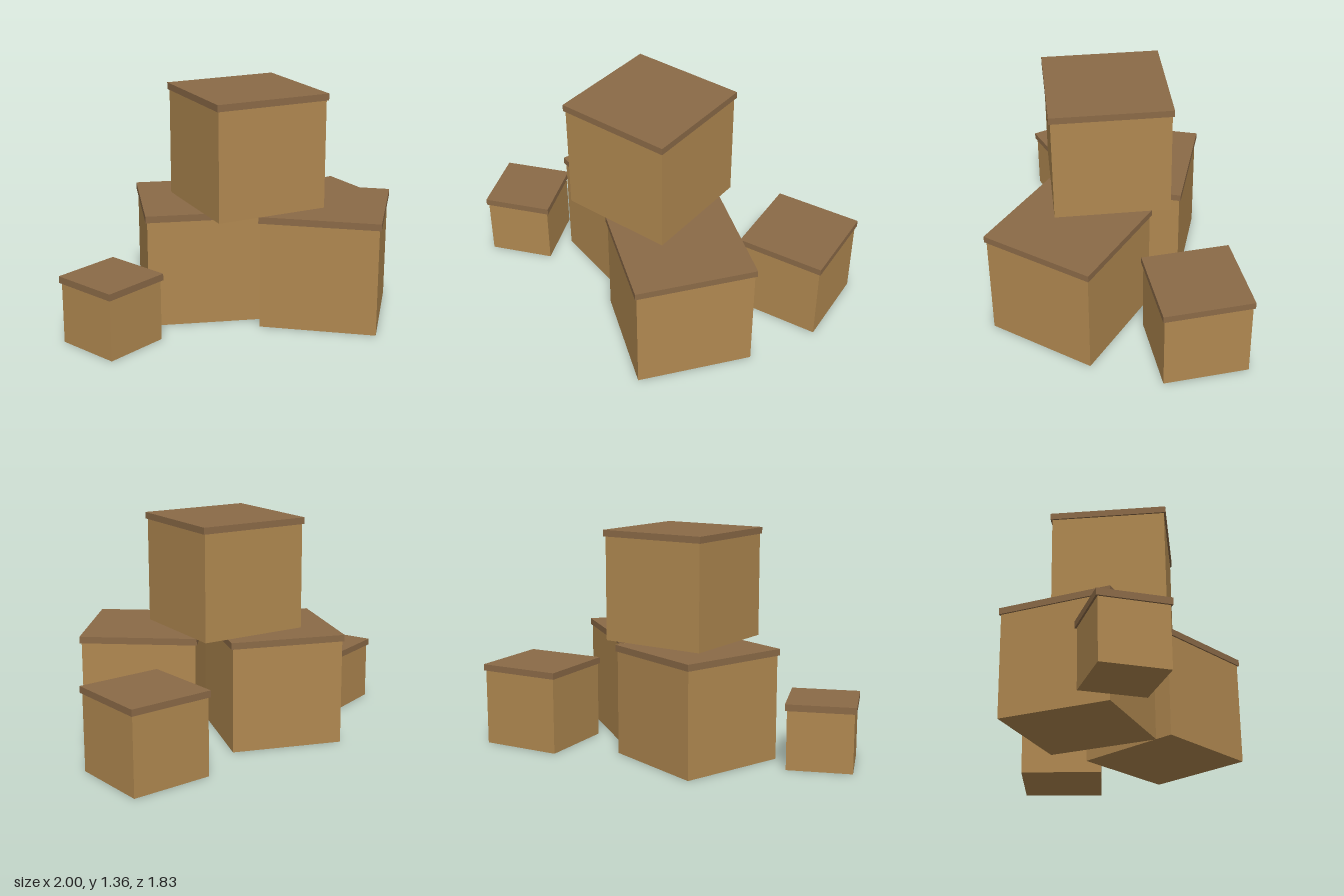
import * as THREE from 'three';

const LID_HEIGHT = 0.04;

export function createModel() {
  const model = new THREE.Group();
  model.name = 'crateStack';
  const wood = new THREE.MeshStandardMaterial({ color: 0xb08850, flatShading: true });
  const lidWood = new THREE.MeshStandardMaterial({ color: 0x8b6a47, flatShading: true });

  // A square box with a slightly wider flat lid, turned about its upright axis
  function addCrate({ name, body, lid, height, x, y = 0, z, turn }) {
    const crate = new THREE.Group();
    crate.name = name;

    const box = new THREE.Mesh(new THREE.BoxGeometry(body, height, body), wood);
    box.name = 'crateBody';
    box.position.y = height / 2;

    const cover = new THREE.Mesh(new THREE.BoxGeometry(lid, LID_HEIGHT, lid), lidWood);
    cover.name = 'crateLid';
    cover.position.y = height + LID_HEIGHT / 2;

    crate.add(box, cover);
    crate.position.set(x, y, z);
    crate.rotation.y = turn;
    model.add(crate);
  }

  // Two large crates side by side with a third on top
  const large = { body: 0.68, lid: 0.7, height: 0.64 };
  addCrate({ ...large, name: 'leftLargeCrate', x: 0.551, z: 0.225, turn: -0.247 });
  addCrate({ ...large, name: 'rightLargeCrate', x: -0.203, z: 0.056, turn: 0.1 });
  addCrate({ ...large, name: 'topCrate', x: 0.078, y: 0.68, z: 0.142, turn: 0.4 });

  // Loose crates on the ground
  addCrate({ name: 'mediumCrate', body: 0.505, lid: 0.525, height: 0.47, x: 0.639, z: -0.56, turn: 0.505 });
  addCrate({ name: 'smallCrate', body: 0.39, lid: 0.412, height: 0.36, x: -0.71, z: 0.62, turn: -0.77 });

  return model;
}
